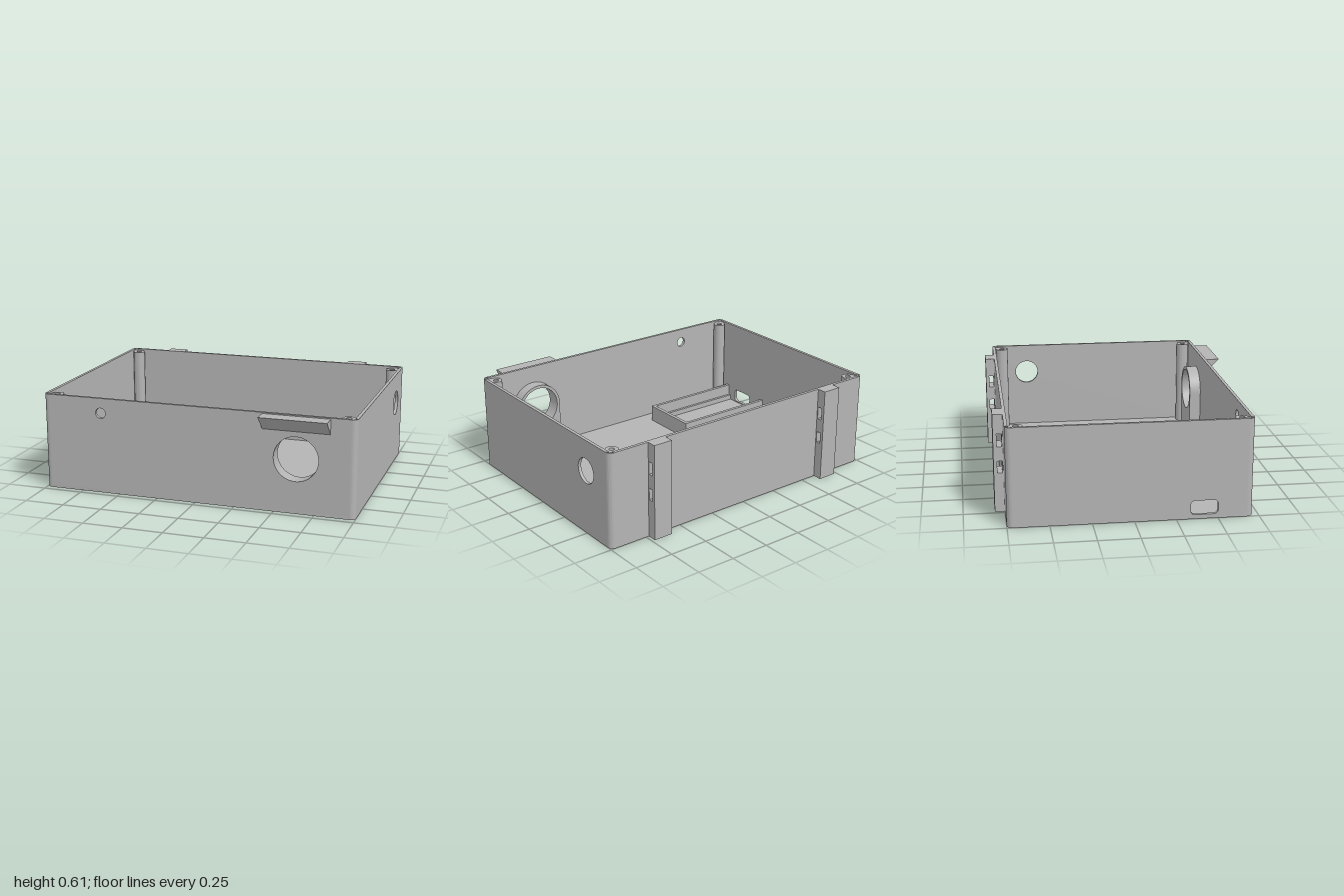
import * as THREE from 'three';
import { toCreasedNormals } from 'three/addons/utils/BufferGeometryUtils.js';

const H = 0.61, T = 0.02, R = 0.035;      // height, wall thickness, corner radius
const BACK = -0.75, FRONT = 0.71;         // outer z limits

export function createModel() {
  const grey = new THREE.MeshStandardMaterial({ color: 0xb4b4b4 });
  grey.name = 'plastic grey';
  const group = new THREE.Group();
  group.name = 'enclosure';

  const add = (name, geo, x = 0, y = 0, z = 0) => {
    const m = new THREE.Mesh(geo, grey);
    m.name = name;
    m.position.set(x, y, z);
    group.add(m);
    return m;
  };
  const extrude = (shape, depth) =>
    new THREE.ExtrudeGeometry(shape, { depth, bevelEnabled: false, curveSegments: 24 });
  // Plan outline (x, z) raised to height h
  const raise = (shape, h) =>
    toCreasedNormals(extrude(shape, h).rotateX(Math.PI / 2).translate(0, h, 0), 0.6);
  // Upright outline in x, y with thickness along z
  const upright = (shape, d) => toCreasedNormals(extrude(shape, d), 0.6);
  // Upright outline in -z, y with thickness along x
  const sideways = (shape, d) => toCreasedNormals(extrude(shape, d).rotateY(Math.PI / 2), 0.6);

  const rect = (x0, y0, x1, y1) => new THREE.Shape([
    new THREE.Vector2(x0, y0), new THREE.Vector2(x1, y0),
    new THREE.Vector2(x1, y1), new THREE.Vector2(x0, y1)]);
  const roundRect = (x0, y0, x1, y1, r) => {
    const s = new THREE.Shape();
    s.absarc(x1 - r, y0 + r, r, -Math.PI / 2, 0);
    s.absarc(x1 - r, y1 - r, r, 0, Math.PI / 2);
    s.absarc(x0 + r, y1 - r, r, Math.PI / 2, Math.PI);
    s.absarc(x0 + r, y0 + r, r, Math.PI, Math.PI * 1.5);
    s.closePath();
    return s;
  };
  const circle = (x, y, r) => new THREE.Path().absarc(x, y, r, 0, Math.PI * 2, true);
  const box = (name, x0, x1, y0, y1, z0, z1) => add(name,
    new THREE.BoxGeometry(x1 - x0, y1 - y0, z1 - z0),
    (x0 + x1) / 2, (y0 + y1) / 2, (z0 + z1) / 2);

  // Floor
  add('floor', raise(roundRect(-1, BACK, 1, FRONT, R), T));

  // Front and back walls
  const front = rect(-1 + R, T, 1 - R, H);
  front.holes.push(circle(-0.615, 0.515, 0.033), circle(0.635, 0.34, 0.138));
  add('frontWall', upright(front, T), 0, 0, FRONT - T);
  add('backWall', upright(rect(-1 + R, T, 1 - R, H), T), 0, 0, BACK);

  // Side walls: round hole on +x, rounded slot on -x
  const left = rect(-FRONT + R, T, -BACK - R, H);
  left.holes.push(circle(0.505, 0.413, 0.08));
  add('leftWall', sideways(left, T), 1 - T);
  const right = rect(-FRONT + R, T, -BACK - R, H);
  right.holes.push(roundRect(-0.5, 0.027, -0.335, 0.115, 0.025));
  add('rightWall', sideways(right, T), -1);

  // Rounded corners and screw posts
  const corner = new THREE.Shape();
  corner.moveTo(0, 0);
  corner.absarc(0, 0, R, 0, Math.PI / 2);
  corner.closePath();
  const post = new THREE.Shape();
  post.absarc(0, 0, 0.04, Math.PI / 2, Math.PI * 2);
  post.lineTo(0.046, 0);
  post.lineTo(0.046, 0.046);
  post.lineTo(0, 0.046);
  post.closePath();
  post.holes.push(circle(0, 0, 0.017));
  const cornerGeo = raise(corner, H - T), postGeo = raise(post, 0.6 - T);
  for (const sx of [-1, 1]) for (const sz of [-1, 1]) {
    const edge = sz > 0 ? FRONT : BACK;
    add('corner', cornerGeo, sx * (1 - R), T, edge - sz * R).scale.set(sx, 1, sz);
    add('screwPost', postGeo, sx * 0.935, T, edge - sz * 0.067).scale.set(sx, 1, sz);
  }

  // Arched collar behind the large front hole
  const arch = new THREE.Shape();
  arch.moveTo(0.477, T);
  arch.lineTo(0.793, T);
  arch.absarc(0.635, 0.34, 0.158, 0, Math.PI);
  arch.closePath();
  arch.holes.push(circle(0.635, 0.34, 0.138));
  add('holeCollar', upright(arch, 0.075), 0, 0, 0.615);

  // Wedge hood above the large hole
  const hood = new THREE.Shape([
    new THREE.Vector2(-0.805, 0.603), new THREE.Vector2(-0.7, 0.5),
    new THREE.Vector2(-0.7, 0.603)]);
  add('hood', sideways(hood, 0.415), 0.427);

  // Back mounting rails with slots
  const rail = rect(0.745, 0, 0.81, H);
  rail.holes.push(rect(0.757, 0.245, 0.788, 0.32), rect(0.757, 0.41, 0.788, 0.49));
  const railGeo = sideways(rail, 0.125);
  add('mountingRail', railGeo, 0.605);
  add('mountingRail', railGeo, -0.73);

  // Board tray with low inner ledges
  box('trayWall', -0.985, -0.275, T, 0.13, 0.19, 0.212);
  box('trayWall', -0.985, -0.275, T, 0.13, 0.568, 0.59);
  box('trayEnd', -0.299, -0.275, T, 0.13, 0.212, 0.568);
  box('trayLedge', -0.985, -0.299, T, 0.055, 0.212, 0.23);
  box('trayLedge', -0.985, -0.299, T, 0.055, 0.55, 0.568);

  return group;
}
